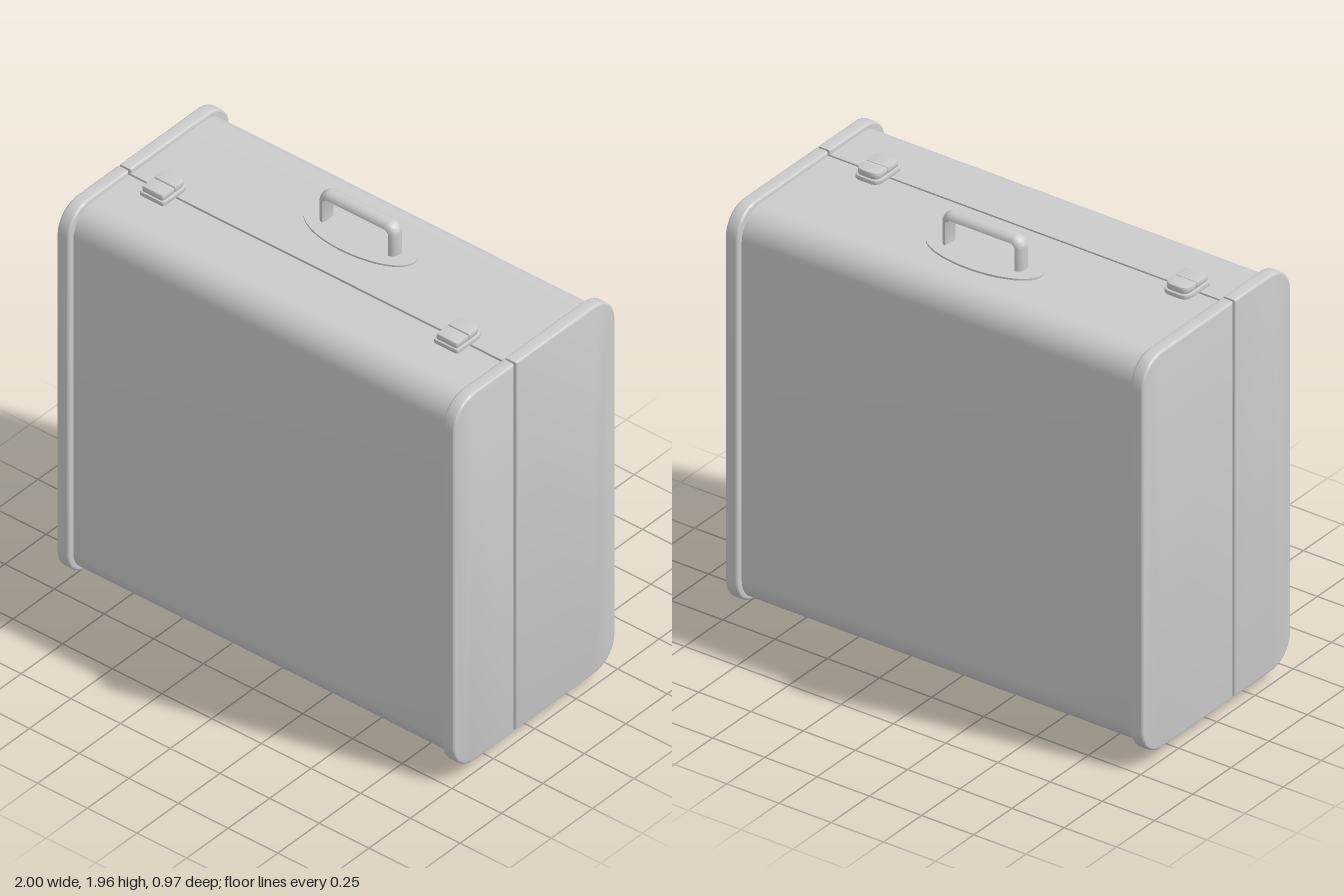
import * as THREE from 'three';
import { toCreasedNormals } from 'three/addons/utils/BufferGeometryUtils.js';

const material = new THREE.MeshStandardMaterial({ color: 0xcccccc });
const SEAM = 0.115, GAP = 0.005, TOP = 1.812, BOTTOM = 0.062;

function add(parent, name, geometry, x = 0, y = 0, z = 0) {
  const mesh = new THREE.Mesh(geometry, material);
  mesh.name = name;
  mesh.position.set(x, y, z);
  parent.add(mesh);
  return mesh;
}

// Section from the seam out to zOut with rounded outer corners, extruded along x and centred
function halfSection(zCut, zOut, y0, y1, r, width, bevel = 0) {
  const s = Math.sign(zOut - zCut);
  const shape = new THREE.Shape();
  shape.moveTo(zCut, y0);
  const c = zOut - s * r;
  for (const [cy, from] of [[y0 + r, -Math.PI / 2], [y1 - r, 0]]) {
    for (let i = 0; i <= 12; i++) {
      const a = from + (i / 12) * Math.PI / 2;
      shape.lineTo(c + s * r * Math.cos(a), cy + r * Math.sin(a));
    }
  }
  shape.lineTo(zCut, y1);
  const g = new THREE.ExtrudeGeometry(shape, {
    depth: width - 2 * bevel, bevelEnabled: bevel > 0, bevelSize: bevel,
    bevelThickness: bevel, bevelOffset: -bevel, bevelSegments: 3,
  });
  g.translate(0, 0, -(width - 2 * bevel) / 2);
  g.rotateY(-Math.PI / 2);
  return toCreasedNormals(g, 0.6);
}

// Latch plan: rounded at the back, nearly square at the front
function latchPlate(w, zBack, zFront, rBack, rFront, height, bevel) {
  const h = w / 2, b = -zFront, t = -zBack;
  const s = new THREE.Shape();
  s.moveTo(-h + rFront, b);
  s.lineTo(h - rFront, b);
  s.quadraticCurveTo(h, b, h, b + rFront);
  s.lineTo(h, t - rBack);
  s.quadraticCurveTo(h, t, h - rBack, t);
  s.lineTo(-h + rBack, t);
  s.quadraticCurveTo(-h, t, -h, t - rBack);
  s.lineTo(-h, b + rFront);
  s.quadraticCurveTo(-h, b, -h + rFront, b);
  const g = new THREE.ExtrudeGeometry(s, {
    depth: height - 2 * bevel, bevelSize: bevel, bevelThickness: bevel,
    bevelOffset: -bevel, bevelSegments: 2, curveSegments: 6,
  });
  g.translate(0, 0, bevel);
  g.rotateX(-Math.PI / 2);
  return toCreasedNormals(g, 0.6);
}

// Handle: domed strip swept along a rounded arch
function handleGeometry(halfWidth, height, radius, thickness, depth) {
  const path = [[halfWidth, 0, 0]];
  for (const [cx, from] of [[halfWidth - radius, 0], [radius - halfWidth, Math.PI / 2]]) {
    for (let i = 0; i <= 8; i++) {
      const a = from + (i / 8) * Math.PI / 2;
      path.push([cx + radius * Math.cos(a), height - radius + radius * Math.sin(a), a]);
    }
  }
  path.push([-halfWidth, 0, Math.PI]);
  const n = 16, pos = [], index = [];
  path.forEach(([x, y, a]) => {
    for (let j = 0; j < n; j++) {
      const t = (j / n) * Math.PI * 2;
      const sn = Math.sin(t);
      const off = sn >= 0 ? thickness * (sn - 1) : -thickness + thickness * 0.2 * sn;
      pos.push(x + off * Math.cos(a), y + off * Math.sin(a), Math.cos(t) * depth / 2);
    }
  });
  for (let i = 0; i < path.length - 1; i++) {
    for (let j = 0; j < n; j++) {
      const a = i * n + j, b = i * n + (j + 1) % n;
      index.push(a, b, a + n, b, b + n, a + n);
    }
  }
  const g = new THREE.BufferGeometry();
  g.setAttribute('position', new THREE.Float32BufferAttribute(pos, 3));
  g.setIndex(index);
  return toCreasedNormals(g, 0.9);
}

export function createModel() {
  const root = new THREE.Group();
  root.name = 'suitcase';

  // Two shell halves, each with rimmed end caps
  for (const [name, side] of [['front', 1], ['back', -1]]) {
    const half = new THREE.Group();
    half.name = name + 'Half';
    root.add(half);
    const cut = SEAM + side * GAP;
    add(half, name + 'Shell', halfSection(cut, side * 0.458, BOTTOM, TOP, 0.12, 1.9));
    for (const [label, x] of [['Left', 1], ['Right', -1]]) {
      add(half, name + label + 'EndCap',
        halfSection(cut, side * 0.487, 0.056, 1.832, 0.125, 0.06, 0.01), x * 0.97);
    }
  }

  // Recessed lining that closes the seam
  add(root, 'seamLining', new THREE.BoxGeometry(1.8, 1.72, 0.06), 0, (TOP + BOTTOM) / 2, SEAM);

  // Carrying handle on an oval plate
  const handle = new THREE.Group();
  handle.name = 'handle';
  handle.position.set(0, TOP, -0.15);
  root.add(handle);
  const plate = add(handle, 'handlePlate', new THREE.CylinderGeometry(1, 1, 0.016, 64));
  plate.scale.set(0.27, 1, 0.12);
  add(handle, 'handleGrip', handleGeometry(0.195, 0.153, 0.05, 0.028, 0.07));

  // Two latches across the seam
  for (const [label, x] of [['left', 0.71], ['right', -0.77]]) {
    const latch = new THREE.Group();
    latch.name = label + 'Latch';
    latch.position.set(x, TOP - 0.004, 0);
    root.add(latch);
    add(latch, 'latchBase', latchPlate(0.122, 0.032, 0.192, 0.04, 0.012, 0.022, 0.003));
    add(latch, 'latchCatch', latchPlate(0.106, 0.04, 0.112, 0.035, 0.004, 0.03, 0.006), 0, 0.02);
    add(latch, 'latchLever', latchPlate(0.106, 0.114, 0.186, 0.004, 0.01, 0.028, 0.006), 0, 0.02);
  }

  // Two hinges underneath: oval leaf plates and a knuckled barrel
  for (const [label, x] of [['left', 0.525], ['right', -0.635]]) {
    const hinge = new THREE.Group();
    hinge.name = label + 'Hinge';
    hinge.position.set(x, 0, SEAM + 0.002);
    root.add(hinge);
    const leaf = add(hinge, 'hingeLeaf', new THREE.CylinderGeometry(1, 1, 0.014, 48), 0, 0.058);
    leaf.scale.set(0.175, 1, 0.08);
    const barrel = new THREE.CylinderGeometry(0.024, 0.024, 0.1, 24).rotateZ(Math.PI / 2);
    for (const k of [-1, 0, 1]) add(hinge, 'hingeKnuckle', barrel, k * 0.103, 0.025);
    add(hinge, 'hingePin', new THREE.CylinderGeometry(0.018, 0.018, 0.31, 20).rotateZ(Math.PI / 2), 0, 0.025);
    add(hinge, 'hingeWeb', new THREE.BoxGeometry(0.3, 0.03, 0.012), 0, 0.045);
  }

  return root;
}
